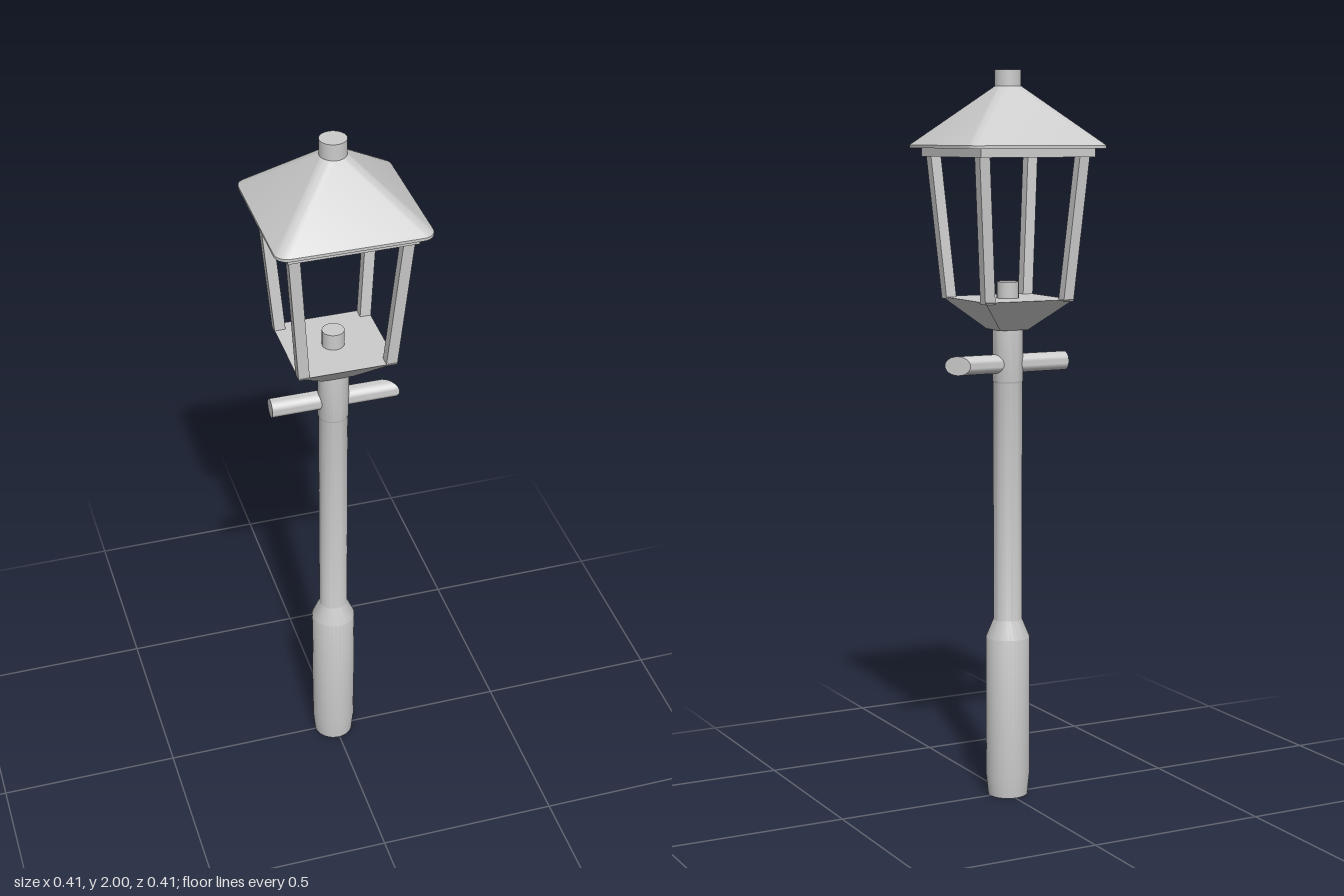
import * as THREE from 'three';
import { mergeVertices, toCreasedNormals } from 'three/addons/utils/BufferGeometryUtils.js';

const grey = new THREE.MeshStandardMaterial({ color: 0xcccccc });
const flatGrey = new THREE.MeshStandardMaterial({ color: 0xcccccc, flatShading: true });
const AXIS = -0.004; // the round parts stand very slightly off centre

// Ring of points: a square of half-size h with corners rounded by r (h === r gives a circle)
function roundedRing(h, r, y, cx = 0, steps = 8) {
  const ring = [];
  for (let q = 0; q < 4; q++) {
    const mid = (q + 0.5) * Math.PI / 2;
    const ox = Math.sign(Math.cos(mid)) * (h - r), oz = Math.sign(Math.sin(mid)) * (h - r);
    for (let j = 0; j <= steps; j++) {
      const a = (q + j / steps) * Math.PI / 2;
      ring.push([cx + ox + r * Math.cos(a), y, oz + r * Math.sin(a)]);
    }
  }
  return ring;
}

// Skin over rings listed from bottom to top, closed at both ends
function loft(rings, crease) {
  const n = rings[0].length, pos = [], idx = [];
  rings.forEach(ring => ring.forEach(p => pos.push(...p)));
  for (let k = 0; k < rings.length - 1; k++) {
    for (let i = 0; i < n; i++) {
      const a = k * n + i, b = k * n + (i + 1) % n;
      idx.push(a, a + n, b, b, a + n, b + n);
    }
  }
  const last = (rings.length - 1) * n;
  for (let i = 1; i < n - 1; i++) {
    idx.push(0, i, i + 1);
    idx.push(last, last + i + 1, last + i);
  }
  const geo = new THREE.BufferGeometry();
  geo.setAttribute('position', new THREE.Float32BufferAttribute(pos, 3));
  geo.setIndex(idx);
  const welded = mergeVertices(geo);
  // drop triangles that collapsed where corner arcs meet
  const src = welded.index.array, kept = [];
  for (let i = 0; i < src.length; i += 3) {
    const [a, b, c] = [src[i], src[i + 1], src[i + 2]];
    if (a !== b && b !== c && a !== c) kept.push(a, b, c);
  }
  welded.setIndex(kept);
  return toCreasedNormals(welded, crease);
}

export function createModel() {
  const lamp = new THREE.Group();
  lamp.name = 'streetLamp';
  const add = (name, geo, x = 0, y = 0, z = 0, mat = grey) => {
    const mesh = new THREE.Mesh(geo, mat);
    mesh.name = name;
    mesh.position.set(x, y, z);
    lamp.add(mesh);
    return mesh;
  };

  // Post with its thicker foot
  const profile = [[0, 0], [0.055, 0], [0.061, 0.06], [0.061, 0.45], [0.04, 0.5],
    [0.04, 1.16], [0.042, 1.165], [0.042, 1.31], [0, 1.31]].map(p => new THREE.Vector2(...p));
  add('post', toCreasedNormals(new THREE.LatheGeometry(profile, 32), 0.4), AXIS);

  // Ladder bar: one end square, the other cut at 45 degrees
  const R = 0.026;
  const bar = new THREE.CylinderGeometry(R, R, 0.328, 24);
  bar.rotateZ(-Math.PI / 2);
  bar.translate(-0.013, 0, 0);
  const bp = bar.attributes.position;
  for (let i = 0; i < bp.count; i++) {
    if (bp.getX(i) > 0) bp.setX(i, bp.getX(i) + bp.getZ(i));
  }
  add('ladderBar', toCreasedNormals(bar, 0.6), 0, 1.212, -0.006);

  // Lantern tray and burner
  const tray = new THREE.CylinderGeometry(0.133 * Math.SQRT2, 0.042 * Math.SQRT2, 0.085, 4);
  tray.rotateY(Math.PI / 4);
  add('lanternTray', tray, -0.002, 1.3475, 0, flatGrey);
  add('burner', new THREE.CylinderGeometry(0.03, 0.03, 0.045, 24), AXIS, 1.4125, 0);

  // Four leaning corner bars
  for (const sx of [-1, 1]) {
    for (const sz of [-1, 1]) {
      const geo = new THREE.BoxGeometry(0.03, 0.4, 0.03);
      const p = geo.attributes.position;
      for (let i = 0; i < p.count; i++) {
        const top = p.getY(i) > 0;
        p.setX(i, p.getX(i) + sx * (top ? 0.15 : 0.118));
        p.setZ(i, p.getZ(i) + sz * (top ? 0.147 : 0.116));
      }
      add('cornerBar', geo, -0.002, 1.585, 0, flatGrey);
    }
  }

  // Rim under the roof, roof with softened hips, and cap
  add('roofRim', new THREE.BoxGeometry(0.34, 0.03, 0.358), -0.002, 1.785, -0.002);
  add('roof', loft([
    roundedRing(0.205, 0.035, 1.793),
    roundedRing(0.205, 0.035, 1.801),
    roundedRing(0.036, 0.036, 1.957, AXIS),
  ], 0.5), 0, 0, -0.002);
  add('roofCap', new THREE.CylinderGeometry(0.036, 0.036, 0.06, 32), AXIS, 1.97, 0);

  return lamp;
}
